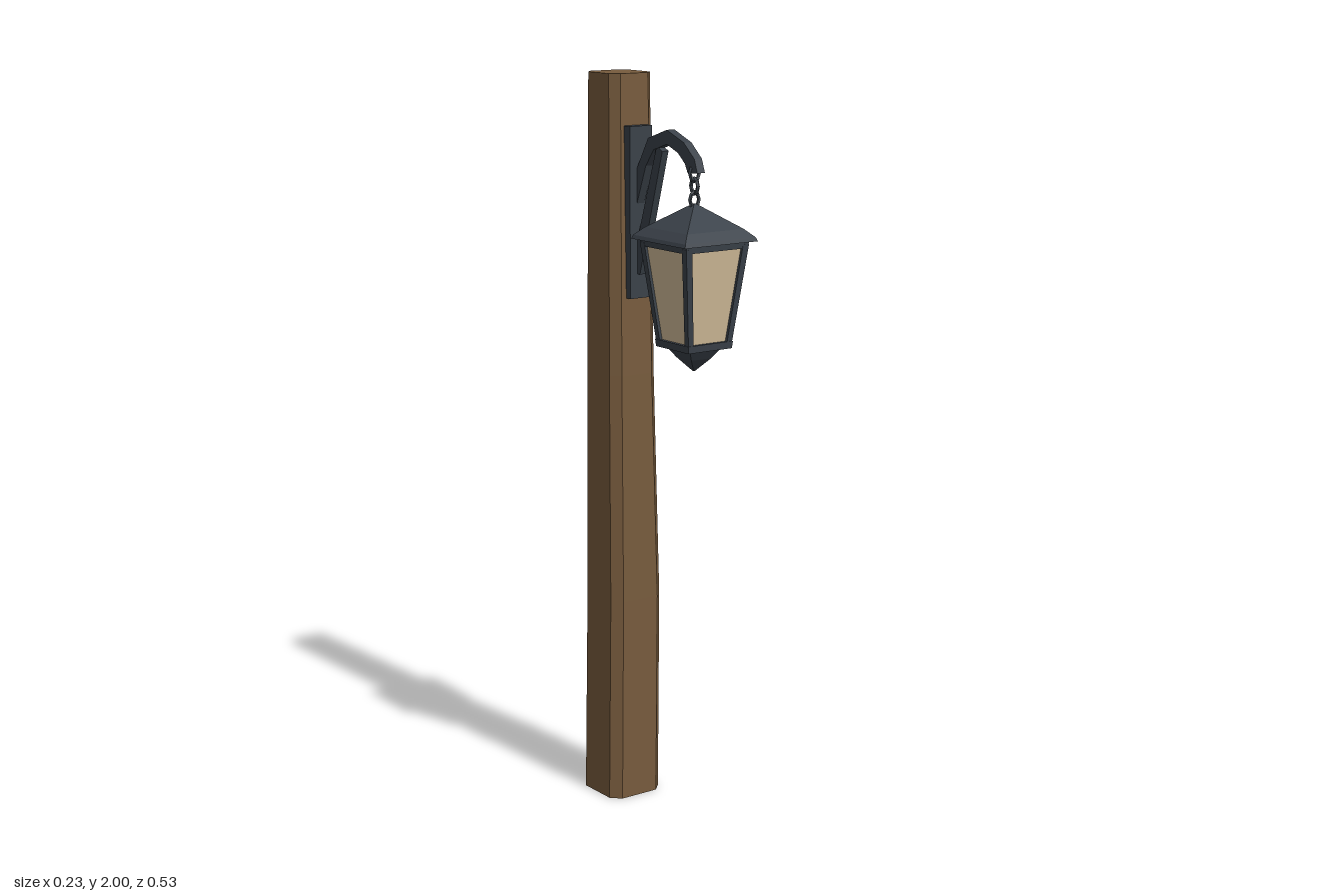
import * as THREE from 'three';

const mat = (name, color) => {
  const m = new THREE.MeshStandardMaterial({ color, flatShading: true });
  m.name = name;
  return m;
};

// Corners of a rectangle section, counter-clockwise from above, optionally chamfered
function ring({ y, x = [-0.1, 0.1], z = [-0.1, 0.1], c = 0 }) {
  const [x0, x1] = x, [z0, z1] = z;
  const pts = c
    ? [[x0 + c, z1], [x1 - c, z1], [x1, z1 - c], [x1, z0 + c], [x1 - c, z0], [x0 + c, z0], [x0, z0 + c], [x0, z1 - c]]
    : [[x0, z1], [x1, z1], [x1, z0], [x0, z0]];
  return pts.map(([px, pz]) => [px, y, pz]);
}

// Closed solid through sections listed from bottom to top
function loft(sections) {
  const rings = sections.map(ring), pos = [];
  const tri = (a, b, c) => pos.push(...a, ...b, ...c);
  const n = rings[0].length;
  for (let k = 0; k < rings.length - 1; k++) {
    for (let i = 0; i < n; i++) {
      const j = (i + 1) % n, lo = rings[k], hi = rings[k + 1];
      tri(lo[i], lo[j], hi[j]);
      tri(lo[i], hi[j], hi[i]);
    }
  }
  const bottom = rings[0], top = rings[rings.length - 1];
  for (let i = 1; i < n - 1; i++) {
    tri(bottom[0], bottom[i + 1], bottom[i]);
    tri(top[0], top[i], top[i + 1]);
  }
  const g = new THREE.BufferGeometry();
  g.setAttribute('position', new THREE.Float32BufferAttribute(pos, 3));
  g.computeVertexNormals();
  return g;
}

// Square section of half width h, centred on (cx, cz)
const square = (y, h, cx = 0, cz = 0) => ({ y, x: [cx - h, cx + h], z: [cz - h, cz + h] });

// Flat bar cut from a side profile of [z, y] points, centred on x = 0
function sideBar(points, width) {
  const shape = new THREE.Shape(points.map(([z, y]) => new THREE.Vector2(z, y)));
  const g = new THREE.ExtrudeGeometry(shape, { depth: width, bevelEnabled: false });
  return g.rotateY(-Math.PI / 2).translate(width / 2, 0, 0);
}

export function createModel() {
  const wood = mat('wood', 0x775b3d);
  const iron = mat('iron', 0x3a4149);
  const glass = mat('glass', 0xcfba98);

  const model = new THREE.Group();
  model.name = 'lampPost';
  const add = (parent, name, geometry, material) => {
    const m = new THREE.Mesh(geometry, material);
    m.name = name;
    parent.add(m);
    return m;
  };

  // Slightly crooked, chamfered timber post
  add(model, 'post', loft([
    { y: 0, x: [-0.085, 0.082], z: [-0.264, -0.095], c: 0.026 },
    { y: 0.57, x: [-0.078, 0.086], z: [-0.258, -0.095], c: 0.025 },
    { y: 1.2, x: [-0.076, 0.07], z: [-0.252, -0.1], c: 0.024 },
    { y: 2, x: [-0.065, 0.067], z: [-0.252, -0.114], c: 0.022 },
  ]), wood);

  // Wall plate, curved arm and diagonal brace
  const bracket = new THREE.Group();
  bracket.name = 'bracket';
  model.add(bracket);
  add(bracket, 'plate', loft([1.41, 1.865].map((y) => ({ y, x: [-0.034, 0.037], z: [-0.112, -0.085] }))), iron);
  add(bracket, 'arm', sideBar([
    [0.178, 1.765], [0.165, 1.8], [0.12, 1.838], [0.047, 1.865], [-0.035, 1.838], [-0.088, 1.75],
    [-0.088, 1.655], [-0.045, 1.765], [-0.01, 1.81], [0.047, 1.828], [0.095, 1.81], [0.125, 1.785], [0.137, 1.762],
  ], 0.024), iron);
  add(bracket, 'brace', sideBar([
    [0.025, 1.808], [0, 1.82], [-0.088, 1.56], [-0.088, 1.475], [-0.075, 1.475],
  ], 0.02), iron);

  // Lantern, built around its own vertical axis
  const lantern = new THREE.Group();
  lantern.name = 'lantern';
  lantern.position.z = 0.15;
  model.add(lantern);

  // Chain links, alternately turned
  [1.762, 1.73, 1.695].forEach((y, i) => {
    const link = add(lantern, 'chainLink', new THREE.TorusGeometry(0.015, 0.005, 5, 8), iron);
    link.position.y = y;
    link.scale.y = 1.25;
    link.rotation.y = i % 2 ? Math.PI / 2 : 0;
  });

  // Roof with a flared eave, rims and pointed base
  add(lantern, 'roof', loft([square(1.592, 0.116), square(1.602, 0.112), square(1.623, 0.09), square(1.685, 0.003)]), iron);
  add(lantern, 'topRim', loft([square(1.574, 0.098), square(1.594, 0.1)]), iron);
  add(lantern, 'bottomRim', loft([square(1.313, 0.07), square(1.332, 0.072)]), iron);
  add(lantern, 'finial', loft([square(1.25, 0.002), square(1.285, 0.032), square(1.314, 0.052)]), iron);

  // Tapering panes with a bar at each corner
  add(lantern, 'panes', loft([square(1.325, 0.061), square(1.58, 0.092)]), glass);
  for (const sx of [-1, 1]) {
    for (const sz of [-1, 1]) {
      add(lantern, 'cornerBar', loft([
        square(1.32, 0.008, sx * 0.061, sz * 0.061),
        square(1.585, 0.0095, sx * 0.0905, sz * 0.0905),
      ]), iron);
    }
  }
  return model;
}
